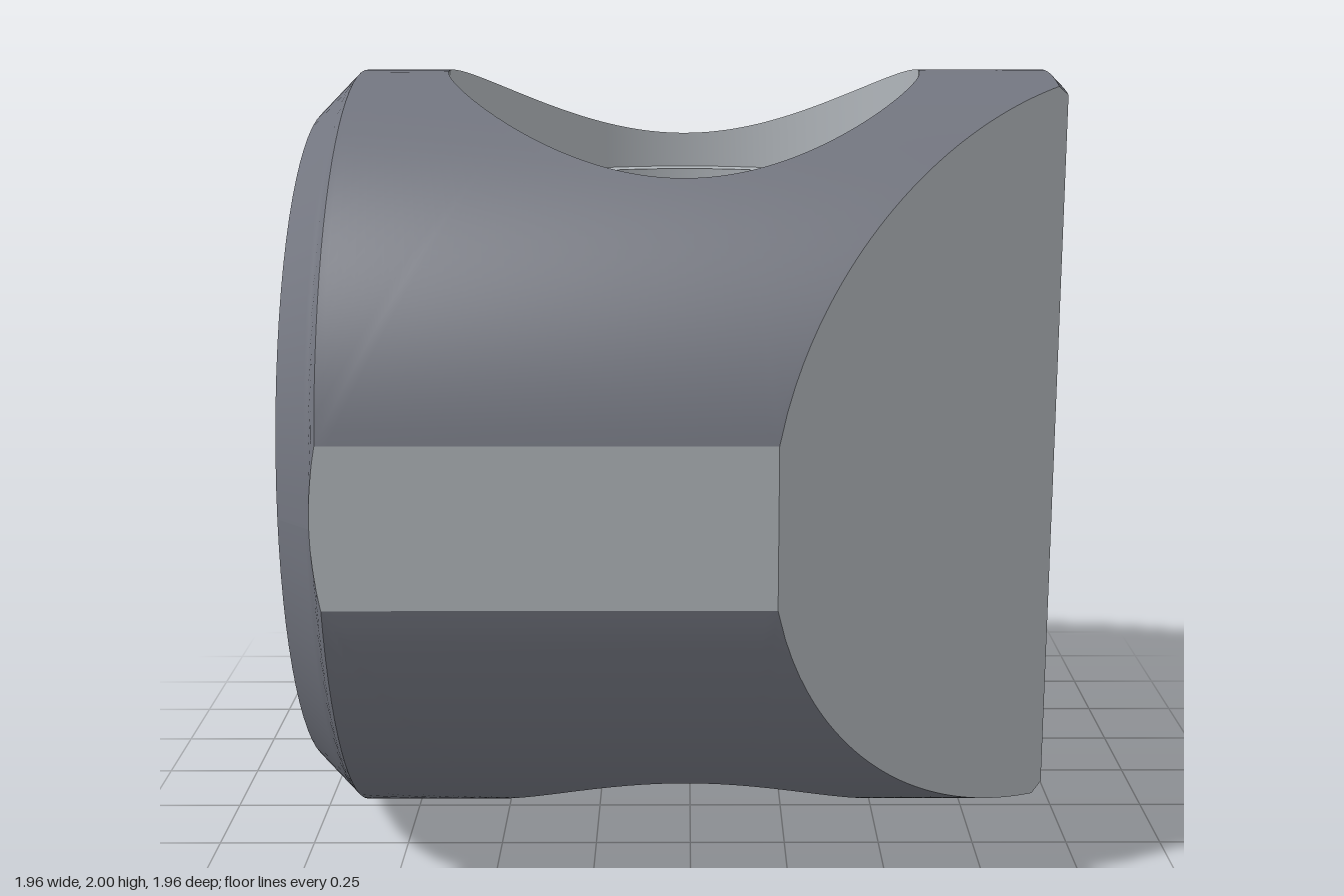
import * as THREE from 'three';

const N = 40;                       // divisions per outline edge
const X0 = -0.98, X1 = 0.98;        // end faces
const C0 = -0.87, C1 = 0.95;        // where the end chamfers begin
const FLAT = 0.98, CUT = 0.205;     // side flats, start of the angled cuts
const HX = -0.015, BORE = 0.553, COUNTERBORE = 0.627, LEDGE = 0.68;

// radius of the barrel along x, half height of the body at a plan position
const radius = x => Math.min(1, 0.89 + (x - X0), 1 - (x - C1));
const halfHeight = (x, z) => Math.sqrt(Math.max(0, radius(x) ** 2 - z * z));
const halfWidth = x => Math.min(FLAT, CUT + FLAT - x, radius(x));
const lerp = THREE.MathUtils.lerp;

// plan outline of the barrel between the chamfers, ordered around the bore
const corners = [[C1, -halfWidth(C1)], [C1, halfWidth(C1)], [CUT, FLAT],
  [C0, FLAT], [C0, -FLAT], [CUT, -FLAT]];
function outline(u) {
  const s = u * corners.length, i = Math.min(Math.floor(s + 1e-6), corners.length - 1), k = s - i;
  const a = corners[i], b = corners[(i + 1) % corners.length];
  const z = a[0] === b[0]
    ? Math.sin(lerp(Math.asin(a[1]), Math.asin(b[1]), k))
    : lerp(a[1], b[1], k);
  return [lerp(a[0], b[0], k), z];
}
function ring(u, r) {
  const [x, z] = outline(u), a = Math.atan2(z, x - HX);
  return [HX + r * Math.cos(a), r * Math.sin(a)];
}

export function createModel() {
  const group = new THREE.Group();
  const dark = new THREE.MeshStandardMaterial({ color: 0x737680 });   // turned stock
  const light = new THREE.MeshStandardMaterial({ color: 0xb0b5ba });  // machined cuts

  // surface patch from a rule f(u, v); its front is du x dv unless flipped
  function patch(name, material, nu, nv, flip, f) {
    const pos = [], index = [];
    for (let j = 0; j <= nv; j++) {
      for (let i = 0; i <= nu; i++) {
        const [x, y, z] = f(i / nu, j / nv);
        pos.push(x, y + 1, z);
        if (i === nu || j === nv) continue;
        const a = j * (nu + 1) + i, b = a + 1, c = a + nu + 1, d = c + 1;
        if (flip) index.push(a, c, b, b, c, d);
        else index.push(a, b, c, b, d, c);
      }
    }
    const geometry = new THREE.BufferGeometry();
    geometry.setAttribute('position', new THREE.Float32BufferAttribute(pos, 3));
    geometry.setIndex(index);
    geometry.computeVertexNormals();
    const mesh = new THREE.Mesh(geometry, material);
    mesh.name = name;
    group.add(mesh);
  }

  // upright wall above and below a plan path
  const wall = (name, material, flip, path) => patch(name, material, N, 2, flip, (u, v) => {
    const [x, z] = path(u);
    return [x, lerp(-1, 1, v) * halfHeight(x, z), z];
  });

  const around = N * corners.length;
  for (const s of [1, -1]) {
    const side = s > 0 ? 'upper' : 'lower', flip = s < 0;

    // round barrel skin, from the rim of the hole out to the outline
    patch(side + 'Barrel', dark, around, 20, flip, (u, v) => {
      const [x0, z0] = ring(u, COUNTERBORE), [x1, z1] = outline(u);
      const x = lerp(x0, x1, v), t = lerp(Math.asin(z0), Math.asin(z1), v);
      return [x, s * Math.cos(t), Math.sin(t)];
    });

    // chamfers at both ends
    for (const [name, a, b] of [['RightChamfer', X0, C0], ['LeftChamfer', C1, X1]]) {
      patch(side + name, dark, N, 11, flip, (u, v) => {
        const x = lerp(a, b, v), r = radius(x);
        const t = Math.asin(Math.min(1, halfWidth(x) / r)) * lerp(-1, 1, u);
        return [x, s * r * Math.cos(t), r * Math.sin(t)];
      });
    }

    // counterbore wall and its ledge
    patch(side + 'Counterbore', light, around, 4, flip, (u, v) => {
      const [x, z] = ring(u, COUNTERBORE);
      return [x, s * lerp(LEDGE, Math.sqrt(1 - z * z), v), z];
    });
    patch(side + 'Ledge', light, around, 1, flip, (u, v) => {
      const [x, z] = ring(u, lerp(BORE, COUNTERBORE, v));
      return [x, s * LEDGE, z];
    });
  }

  // through bore
  patch('bore', light, around, 2, false, (u, v) => {
    const [x, z] = ring(u, BORE);
    return [x, lerp(-LEDGE, LEDGE, v), z];
  });

  // side flats and angled cuts, front and back
  const spans = [['SideFlatTip', X0 + 0.09, C0], ['SideFlat', C0, CUT],
    ['AngledCut', CUT, C1], ['AngledCutTip', C1, X1]];
  for (const s of [1, -1]) {
    for (const [name, a, b] of spans) {
      wall((s > 0 ? 'front' : 'back') + name, light, s < 0, u => {
        const x = lerp(a, b, u);
        return [x, s * halfWidth(x)];
      });
    }
  }

  // end faces
  for (const [name, x, flip] of [['roundEnd', X0, false], ['narrowEnd', X1, true]]) {
    const t = Math.asin(Math.min(1, halfWidth(x) / radius(x)));
    wall(name, dark, flip, u => [x, radius(x) * Math.sin(lerp(-t, t, u))]);
  }
  return group;
}
